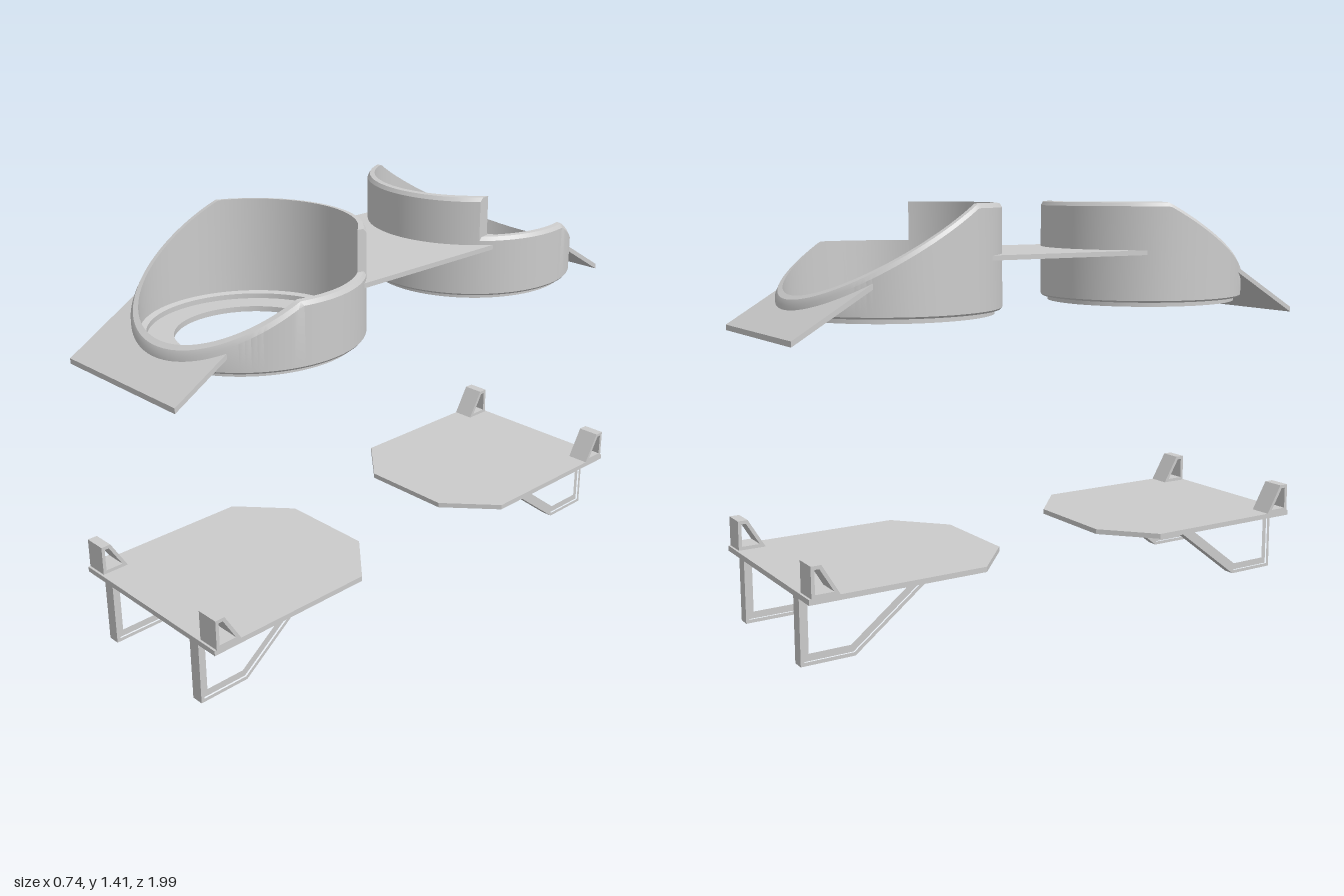
import * as THREE from 'three';
import { toCreasedNormals } from 'three/addons/utils/BufferGeometryUtils.js';

const material = new THREE.MeshStandardMaterial({ color: 0xcccccc });
const CUP_Z = 0.52, SLOPE = 0.588, NOTCH_X = 0.27, CUT_R = 0.36;

const polygon = (pts) => new THREE.Shape(pts.map(([x, y]) => new THREE.Vector2(x, y)));

// Flat sheet: outline in (x, z), top surface at the given height
function sheet(shape, top, thickness) {
  const geo = new THREE.ExtrudeGeometry(shape, { depth: thickness, bevelEnabled: false, curveSegments: 40 });
  return geo.rotateX(Math.PI / 2).translate(0, top, 0);
}

// Frame: outline and hole in (z, y), extruded along x about centre cx
function frame(outer, inner, width, cx) {
  const shape = polygon(outer);
  shape.holes.push(polygon(inner));
  const geo = new THREE.ExtrudeGeometry(shape, { depth: width, bevelEnabled: false });
  return geo.rotateY(-Math.PI / 2).translate(cx + width / 2, 0, 0);
}

// Copy mirrored front to back, with corner order reversed to match
function mirrorZ(source) {
  const geo = source.index ? source.toNonIndexed() : source.clone();
  for (const name of ['position', 'normal']) {
    const attr = geo.attributes[name];
    for (let i = 0; i < attr.count; i += 3) {
      const v = [0, 2, 1].map((k) => new THREE.Vector3().fromBufferAttribute(attr, i + k));
      v.forEach((p, k) => attr.setXYZ(i + k, p.x, p.y, -p.z));
    }
  }
  geo.deleteAttribute('uv');
  return geo;
}

// Open cup: ring floor, wall cut by a sloping plane, with a square notch on one side
function cupGeometry() {
  const N = 128;
  // [radius, height]; heights marked as top are measured from the cut rim
  const profile = [
    [0.24, 1.05], [0.345, 1.05], [0.345, 1.066], [0.365, 1.066], [0.37, 1.072],
    [0.37, -0.015, 'top'], [0.362, -0.002, 'top'], [0.345, 0, 'top'],
    [0.345, 1.09], [0.325, 1.085], [0.325, 1.068], [0.24, 1.068],
  ];
  const M = profile.length, pos = [], idx = [];
  for (let i = 0; i <= N; i++) {
    for (const [r, y, top] of profile) {
      // every ring starts on the notch's flat side
      const a = -Math.acos(NOTCH_X / Math.max(r, 0.345)) + (i / N) * Math.PI * 2;
      const x = r * Math.cos(a), z = CUP_Z + r * Math.sin(a);
      let h = Math.min(1.41, 1.41 - (z - 0.38) * SLOPE);
      if (i === 0 || (i < N && x > NOTCH_X)) h = Math.min(h, 1.275);
      pos.push(x, top ? h + y : y, z);
    }
  }
  const quad = (a, b, j) => {
    const k = (j + 1) % M;
    idx.push(a + j, a + k, b + j, a + k, b + k, b + j);
  };
  for (let i = 0; i < N; i++) for (let j = 0; j < M; j++) quad(i * M, (i + 1) * M, j);
  // vertical face of the notch
  for (const j of [5, 6]) quad(N * M, 0, j);
  const geo = new THREE.BufferGeometry();
  geo.setAttribute('position', new THREE.Float32BufferAttribute(pos, 3));
  geo.setIndex(idx);
  return toCreasedNormals(geo, 0.5);
}

// Sloping flap that meets the outside of the cup
function flapGeometry() {
  const s = new THREE.Shape();
  s.moveTo(-0.305, 0.995);
  s.lineTo(0.24, 0.995);
  s.absarc(0, CUP_Z, CUT_R, Math.acos(0.24 / CUT_R), Math.acos(-0.305 / CUT_R), false);
  s.closePath();
  const geo = sheet(s, 0, 0.018), p = geo.attributes.position;
  for (let i = 0; i < p.count; i++) p.setY(i, p.getY(i) + 1.018 + (0.995 - p.getZ(i)) * SLOPE);
  geo.computeVertexNormals();
  return geo;
}

// Level bridge between the two cups
function bridgeGeometry() {
  const right = Math.acos(0.3 / CUT_R), left = Math.acos(-0.305 / CUT_R);
  const s = new THREE.Shape();
  s.absarc(0, CUP_Z, CUT_R, -left, -right, false);
  s.absarc(0, -CUP_Z, CUT_R, right, left, false);
  s.closePath();
  return sheet(s, 1.246, 0.016);
}

export function createModel() {
  const model = new THREE.Group();
  const add = (name, geo, parent) => {
    const mesh = new THREE.Mesh(geo, material);
    mesh.name = name;
    parent.add(mesh);
  };

  // Parts of the front half, each repeated at the back
  const parts = [
    ['cup', cupGeometry()],
    ['flap', flapGeometry()],
    ['platform', sheet(polygon([
      [-0.345, 0.98], [0.345, 0.98], [0.345, 0.36], [0.17, 0.205], [-0.17, 0.205], [-0.345, 0.36],
    ]), 0.246, 0.018)],
  ];
  for (const [side, sx] of [['left', 1], ['right', -1]]) {
    // Bracket leg: wide outer band around a slightly narrower inner band
    const outer = [[0.975, 0.23], [0.975, 0.004], [0.79, 0.004], [0.495, 0.23]];
    const middle = [[0.963, 0.217], [0.963, 0.016], [0.794, 0.016], [0.532, 0.217]];
    const inner = [[0.945, 0.195], [0.945, 0.04], [0.802, 0.04], [0.6, 0.195]];
    parts.push([side + 'LegBand', frame(outer, middle, 0.043, sx * 0.233)]);
    parts.push([side + 'LegWeb', frame(middle, inner, 0.03, sx * 0.233)]);
    // Hollow upright tab on the platform corner
    parts.push([side + 'Tab', frame(
      [[0.972, 0.244], [0.972, 0.348], [0.937, 0.348], [0.875, 0.244]],
      [[0.96, 0.258], [0.96, 0.336], [0.944, 0.336], [0.897, 0.258]], 0.081, sx * 0.305)]);
  }

  for (const end of ['front', 'back']) {
    const half = new THREE.Group();
    half.name = end + 'Half';
    for (const [name, geo] of parts) add(name, end === 'front' ? geo : mirrorZ(geo), half);
    model.add(half);
  }
  add('bridge', bridgeGeometry(), model);
  return model;
}
